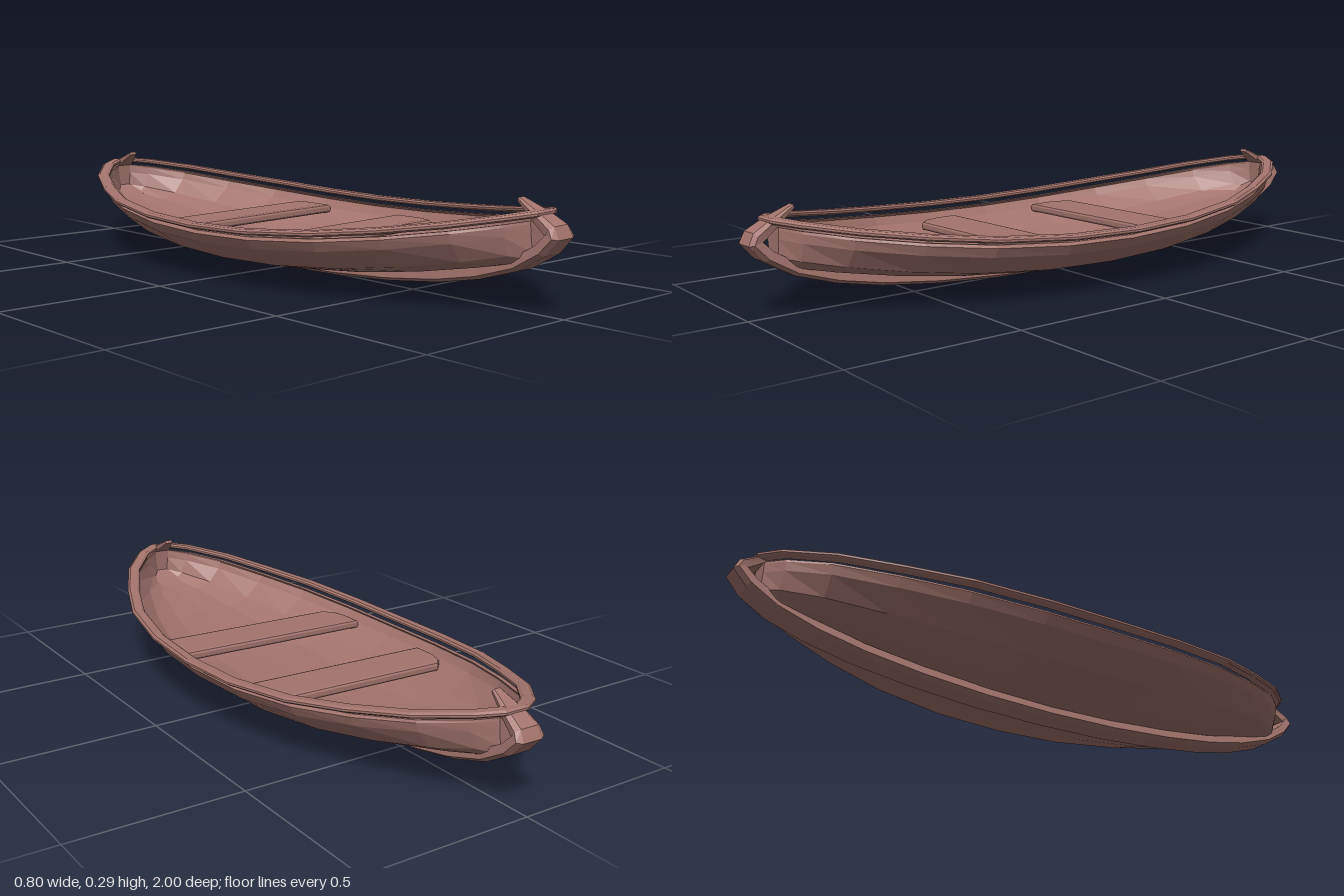
import * as THREE from 'three';

const material = new THREE.MeshStandardMaterial({ color: 0xa3746d, flatShading: true, side: THREE.DoubleSide });
const V = (x, y, z) => new THREE.Vector3(x, y, z);

// Skin between rings of points; the path is either capped or closed on itself.
function loft(rings, closed = false) {
  const n = rings[0].length, m = rings.length, index = [];
  for (let i = 0; i < (closed ? m : m - 1); i++) {
    for (let j = 0; j < n; j++) {
      const k = (j + 1) % n, a = i * n, b = ((i + 1) % m) * n;
      index.push(a + j, a + k, b + k, a + j, b + k, b + j);
    }
  }
  if (!closed) {
    const e = (m - 1) * n;
    for (let j = 1; j < n - 1; j++) index.push(0, j + 1, j, e, e + j, e + j + 1);
  }
  const geometry = new THREE.BufferGeometry().setFromPoints(rings.flat());
  geometry.setIndex(index);
  geometry.computeVertexNormals();
  return geometry;
}

// Rings along a path: section points [s, f], f along the fixed axis, s square to it.
function sweep(path, axis, section, closed = false) {
  const m = path.length;
  return loft(path.map((p, i) => {
    const before = path[closed ? (i + m - 1) % m : Math.max(i - 1, 0)];
    const after = path[closed ? (i + 1) % m : Math.min(i + 1, m - 1)];
    const side = axis.clone().cross(after.clone().sub(before)).normalize();
    return section(i).map(([s, f]) => p.clone().addScaledVector(side, s).addScaledVector(axis, f));
  }), closed);
}

const rimY = z => 0.152 + 0.085 * (z / 0.9) ** 2;
const floorY = z => 0.03 + 0.1 * (z / 0.9) ** 2;

// Hull shell: stations are [z, half width], section is [width share, height share].
function hull() {
  const half = [[0, 0.375], [0.22, 0.365], [0.44, 0.325], [0.62, 0.26], [0.78, 0.18], [0.88, 0.095], [0.92, 0.035]];
  const stations = [...half.slice(1).reverse().map(([z, w]) => [-z, w]), ...half];
  const profile = [[0.43, 0.04], [0.73, 0.24], [0.95, 0.7], [1, 0.93], [0.98, 1]];
  const side = [...profile.slice().reverse().map(([x, y]) => [-x, y]), [0, 0], ...profile];
  return loft(stations.map(([z, w]) => {
    const h = rimY(z) - floorY(z), t = Math.min(0.015, w * 0.3);
    const outer = side.map(([x, y]) => V(x * w, floorY(z) + y * h, z));
    const inner = side.map(([x, y]) => V(x * (w - t), floorY(z) + 0.012 + y * (h - 0.012), z)).reverse();
    return [...outer, ...inner];
  }));
}

// Gunwale rail: a flat loop floating just above the rim.
function rail() {
  const quarter = [[0, 0.381], [0.22, 0.371], [0.44, 0.331], [0.61, 0.265], [0.77, 0.185], [0.885, 0.09], [0.925, 0.03]];
  const right = [...quarter.slice(1).reverse().map(([z, x]) => [-z, x]), ...quarter];
  const left = right.map(([z, x]) => [z, -x]).reverse();
  const path = [...right, ...left].map(([z, x]) => V(x, rimY(z) + 0.016, z));
  const section = [[0.019, -0.003], [0.019, 0.003], [0.012, 0.008], [-0.012, 0.008],
    [-0.019, 0.003], [-0.019, -0.003], [-0.012, -0.008], [0.012, -0.008]];
  return sweep(path, V(0, 1, 0), () => section, true);
}

// Keel: one strip from curled stem to curled stem, given as [z, y, half width, thickness].
function keel() {
  const half = [[0, 0, 0.05, 0.034], [0.23, 0.005, 0.05, 0.034], [0.44, 0.02, 0.05, 0.034], [0.62, 0.042, 0.05, 0.034],
    [0.76, 0.07, 0.05, 0.034], [0.88, 0.108, 0.05, 0.034], [0.96, 0.155, 0.049, 0.034], [1, 0.2, 0.046, 0.034],
    [0.985, 0.232, 0.042, 0.032], [0.935, 0.26, 0.034, 0.025], [0.865, 0.292, 0.014, 0.01]];
  const points = [...half.slice(1).reverse().map(([z, ...r]) => [-z, ...r]), ...half];
  return sweep(points.map(([z, y]) => V(0, y, z)), V(1, 0, 0), i => {
    const [, , w, t] = points[i];
    return [[0, -0.65 * w], [0, 0.65 * w], [-0.3 * t, w], [-t, 0.9 * w], [-t, -0.9 * w], [-0.3 * t, -w]];
  });
}

// Thwart: a bevelled plank whose outer corners are eased to the hull; end is -1 or 1 along z.
function seat(end) {
  const outline = [[-0.31, -0.063], [0.308, -0.063], [0.308, 0.03], [0.298, 0.063],
    [-0.276, 0.063], [-0.298, 0.04], [-0.31, 0]];
  const shape = new THREE.Shape(outline.map(([x, z]) => new THREE.Vector2(x, -z * end)));
  return new THREE.ExtrudeGeometry(shape, {
    depth: 0.012, bevelEnabled: true, bevelSize: 0.012, bevelThickness: 0.008, bevelSegments: 2,
  }).rotateX(-Math.PI / 2);
}

export function createModel() {
  const model = new THREE.Group();
  model.name = 'rowingBoat';
  const boat = new THREE.Group();
  boat.name = 'boat';
  const add = (name, geometry) => {
    const mesh = new THREE.Mesh(geometry, material);
    mesh.name = name;
    boat.add(mesh);
    return mesh;
  };
  add('hull', hull());
  add('gunwaleRail', rail());
  add('keel', keel());
  add('frontSeat', seat(1)).position.set(0, 0.117, 0.215);
  add('backSeat', seat(-1)).position.set(0, 0.117, -0.245);

  // The boat rests with a slight list.
  boat.rotation.z = 0.018;
  boat.position.set(0.002, 0.001, 0);
  model.add(boat);
  return model;
}
